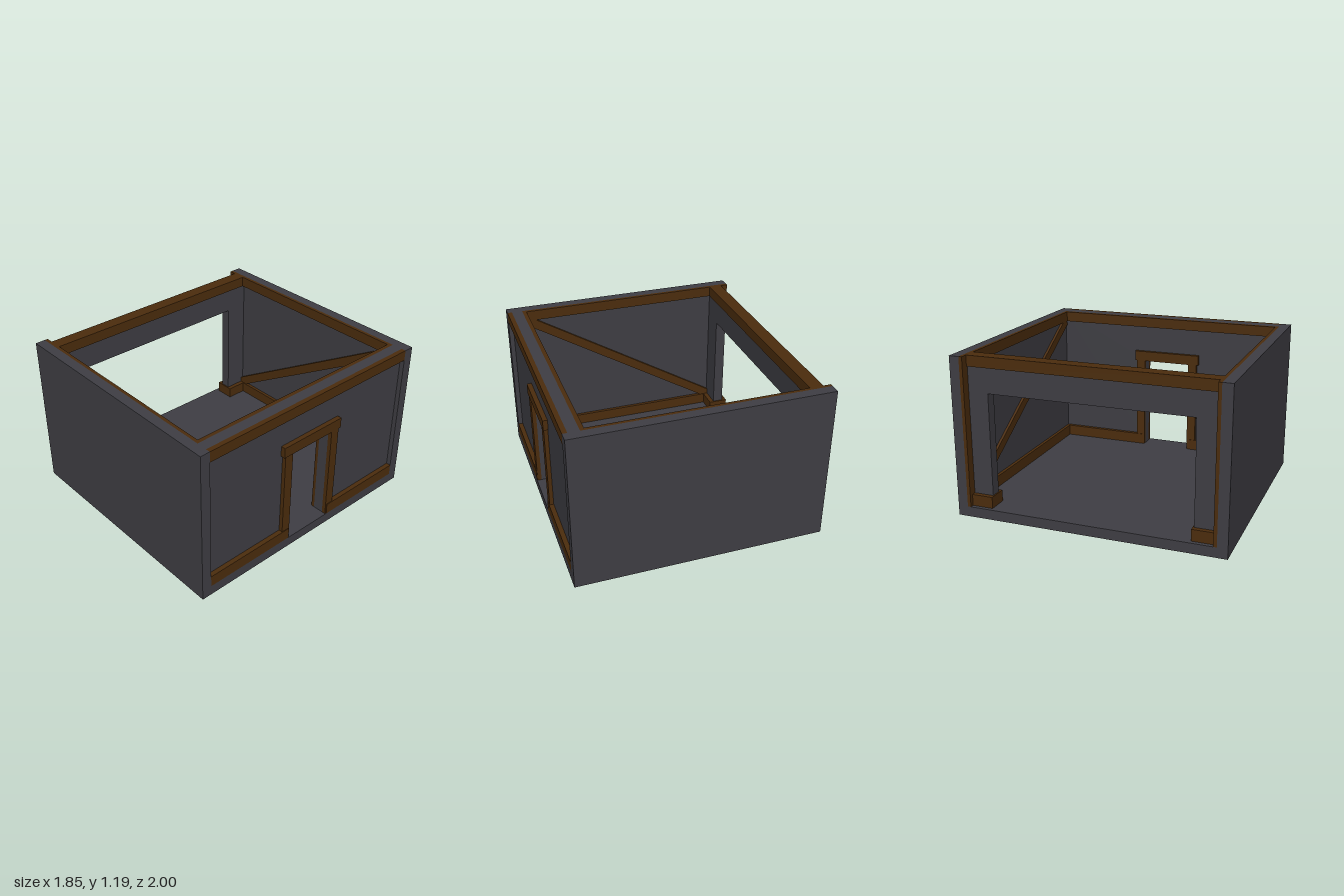
import * as THREE from 'three';

const stone = new THREE.MeshStandardMaterial({ color: 0x3f3e44 });
stone.name = 'dark grey plaster';
const wood = new THREE.MeshStandardMaterial({ color: 0x4c2d0d });
wood.name = 'brown timber';

export function createModel() {
  const model = new THREE.Group();
  model.name = 'timberRoom';

  // Box given by its bounds on each axis
  function box(name, mat, [x0, x1], [y0, y1], [z0, z1]) {
    const mesh = new THREE.Mesh(new THREE.BoxGeometry(x1 - x0, y1 - y0, z1 - z0), mat);
    mesh.position.set((x0 + x1) / 2, (y0 + y1) / 2, (z0 + z1) / 2);
    mesh.name = name;
    model.add(mesh);
    return mesh;
  }
  const span = (s, a, b) => (s > 0 ? [a, b] : [-b, -a]);

  // Side wall across z with an opening that reaches the floor
  function openWall(name, x0, x1, top, half, openTop) {
    const shape = new THREE.Shape();
    [[-0.925, FLOOR], [-half, FLOOR], [-half, openTop], [half, openTop],
      [half, FLOOR], [0.925, FLOOR], [0.925, top], [-0.925, top]]
      .forEach(([z, y], i) => (i ? shape.lineTo(z, y) : shape.moveTo(z, y)));
    const geo = new THREE.ExtrudeGeometry(shape, { depth: x1 - x0, bevelEnabled: false });
    geo.rotateY(-Math.PI / 2);
    geo.translate(x1, 0, 0);
    const mesh = new THREE.Mesh(geo, stone);
    mesh.name = name;
    model.add(mesh);
  }

  const FLOOR = 0.075, RAIL = 0.16, BEAM = 1.105, TOP = 1.185;

  // Floor and side walls
  box('floor', stone, [-0.925, 0.925], [0, FLOOR], [-0.925, 0.925]);
  openWall('doorWall', 0.81, 0.89, TOP, 0.19, 0.815);
  openWall('gateWall', -0.86, -0.78, BEAM, 0.75, 0.92);
  box('gateBeam', wood, [-0.87, -0.77], [BEAM, TOP], [-0.925, 0.925]);

  for (const s of [1, -1]) {
    // Plain end walls with inner trim
    box(s > 0 ? 'frontWall' : 'backWall', stone, [-0.925, 0.925], [0, TOP], span(s, 0.925, 1));
    const trimZ = span(s, 0.9, 0.925);
    box('topTrim', wood, [-0.77, 0.78], [BEAM, TOP], trimZ);
    box('bottomTrim', wood, [-0.78, 0.78], [FLOOR, RAIL], trimZ);
    box('cornerTrim', wood, [-0.925, -0.86], [FLOOR, TOP], trimZ);

    // Diagonal brace rising towards the door wall
    const dx = 1.56, dy = BEAM - RAIL, len = Math.hypot(dx, dy);
    const brace = box('diagonalBrace', wood, [-len / 2, len / 2], [0, 0.07], span(s, 0.905, 0.925));
    brace.position.y = (BEAM + RAIL) / 2;
    brace.rotation.z = Math.atan2(dy, dx);

    // Foot of each gate post
    box('postFoot', wood, [-0.895, -0.745], [FLOOR, RAIL], span(s, 0.74, 0.9));
  }

  // Trim and door frame on both faces of the door wall
  for (const [side, rail, post, lintel] of [
    ['outer', [0.89, 0.925], [0.89, 0.92], [0.89, 0.925]],
    ['inner', [0.78, 0.81], [0.785, 0.81], [0.78, 0.81]],
  ]) {
    box(side + 'WallBeam', wood, rail, [BEAM, TOP], [-0.925, 0.925]);
    box(side + 'Lintel', wood, lintel, [0.815, 0.895], [-0.275, 0.275]);
    for (const s of [1, -1]) {
      box(side + 'DoorPost', wood, post, [FLOOR, 0.815], span(s, 0.19, 0.26));
      box(side + 'BottomRail', wood, rail, [FLOOR, RAIL], span(s, 0.2, 0.925));
    }
  }
  return model;
}
